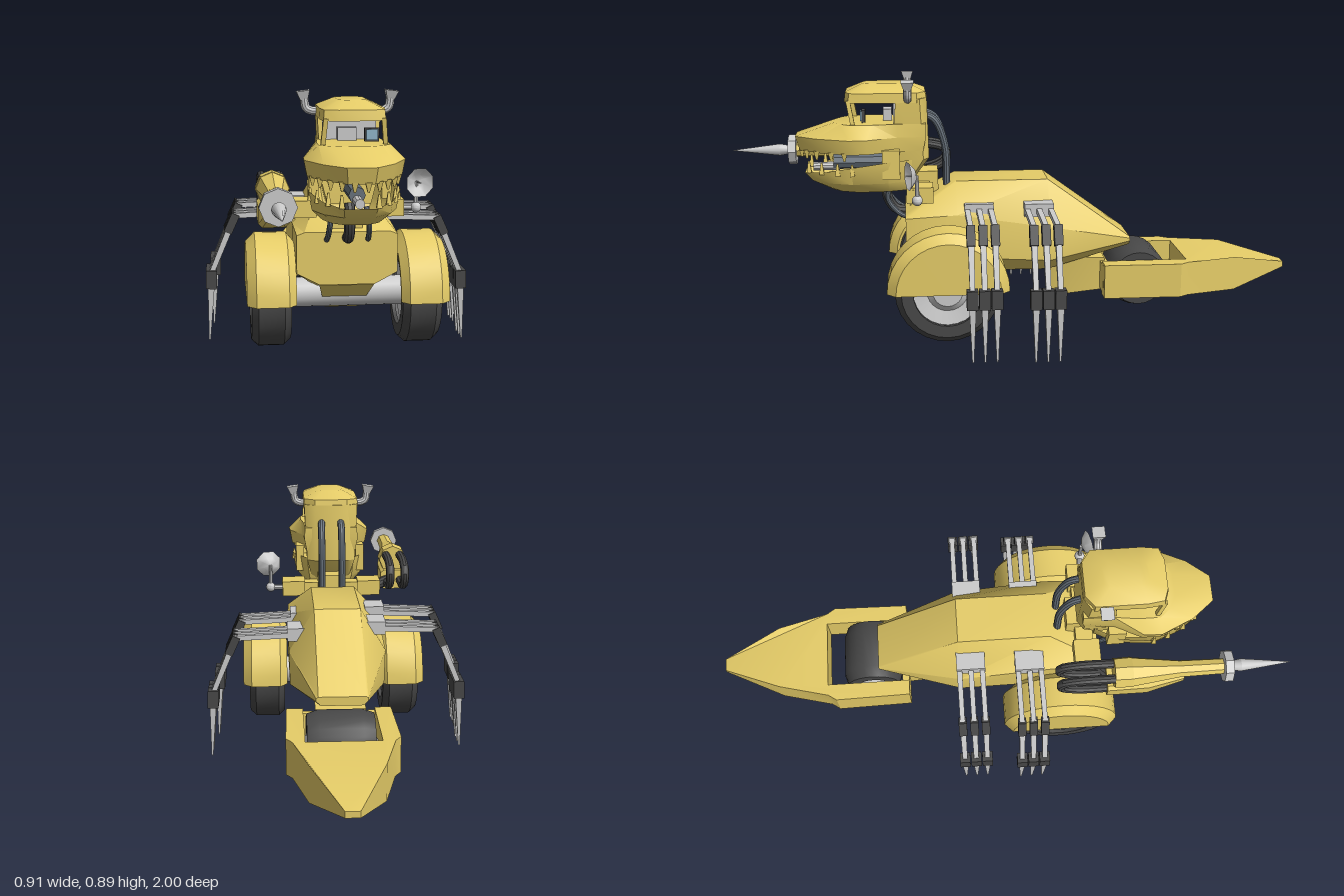
import * as THREE from 'three';
import { toCreasedNormals } from 'three/addons/utils/BufferGeometryUtils.js';

const mat = (color) => new THREE.MeshStandardMaterial({ color, side: THREE.DoubleSide });
const V = (p) => new THREE.Vector3(...p);

export function createModel() {
  const root = new THREE.Group();
  const yellow = mat(0xe6cd68), grey = mat(0xcccccc), dark = mat(0x484848), slate = mat(0x66707a), glass = mat(0x8fb4c8);

  const add = (name, geo, material, parent = root) => {
    const m = new THREE.Mesh(toCreasedNormals(geo, 0.6), material);
    m.name = name;
    parent.add(m);
    return m;
  };
  const box = (name, size, pos, material, parent) =>
    add(name, new THREE.BoxGeometry(...size).translate(...pos), material, parent);

  // Tapered rod between two points; four sides gives a square bar
  const rod = (name, a, b, r0, r1, sides, material, parent) => {
    const d = V(b).sub(V(a));
    const g = new THREE.CylinderGeometry(r1, r0, d.length(), sides);
    if (sides === 4) g.rotateY(Math.PI / 4);
    g.applyQuaternion(new THREE.Quaternion().setFromUnitVectors(new THREE.Vector3(0, 1, 0), d.normalize()));
    g.translate(...V(a).add(V(b)).multiplyScalar(0.5).toArray());
    return add(name, g, material, parent);
  };
  const hose = (name, pts, r, material = slate) =>
    add(name, new THREE.TubeGeometry(new THREE.CatmullRomCurve3(pts.map(V)), 20, r, 10), material);

  // Skin over closed rings, each given as its +x half and mirrored
  const loft = (name, halves, material, capped = [true, true]) => {
    const rings = halves.map((h) => [...h, ...h.slice().reverse().map(([x, y, z]) => [-x, y, z])]);
    const n = rings[0].length, pos = rings.flat(2), idx = [];
    for (let i = 0; i < rings.length - 1; i++)
      for (let j = 0; j < n; j++) {
        const a = i * n + j, b = i * n + (j + 1) % n;
        idx.push(a, b, a + n, b, b + n, a + n);
      }
    [0, rings.length - 1].forEach((r, e) => {
      if (!capped[e]) return;
      // halves are mirrored, so strips across x close the end
      for (let j = 0; j < n / 2 - 1; j++) {
        const a = r * n + j, b = a + 1, c = r * n + n - 1 - j, d = c - 1;
        if (e) idx.push(a, b, c, b, d, c);
        else idx.push(a, c, b, b, c, d);
      }
    });
    const g = new THREE.BufferGeometry();
    g.setAttribute('position', new THREE.Float32BufferAttribute(pos, 3));
    g.setIndex(idx);
    return add(name, g, material);
  };
  const atY = (y, pts) => pts.map(([x, z]) => [x, y, z]);
  const atZ = (z, pts) => pts.map(([x, y]) => [x, y, z]);

  // Lathe turned about the x axis; profile is [radius, x]
  const turned = (name, profile, segs, pos, material, half = false) => {
    const pts = profile.map(([r, x]) => new THREE.Vector2(r, x));
    const g = new THREE.LatheGeometry(pts, segs, half ? Math.PI : 0, half ? Math.PI : Math.PI * 2);
    return add(name, g.rotateZ(-Math.PI / 2).translate(...pos), material);
  };
  const tyre = (r, w, hub) => [[hub, -w * 0.8], [hub, -w], [r * 0.88, -w], [r, -w * 0.65], [r, w * 0.65], [r * 0.88, w], [hub, w], [hub, w * 0.8]];

  // Hull
  loft('hull', [
    atZ(0.375, [[0.14, 0.43], [0.165, 0.42], [0.165, 0.295], [0.09, 0.255]]),
    atZ(0.2, [[0.08, 0.53], [0.168, 0.43], [0.168, 0.28], [0.09, 0.21]]),
    atZ(-0.12, [[0.08, 0.53], [0.168, 0.38], [0.165, 0.26], [0.1, 0.21]]),
    atZ(-0.415, [[0.078, 0.315], [0.085, 0.31], [0.085, 0.3], [0.07, 0.285]]),
  ], yellow);
  loft('chin', [
    atZ(0.36, [[0.095, 0.27], [0.09, 0.25]]),
    atZ(0.22, [[0.085, 0.27], [0.06, 0.14]]),
    atZ(0.1, [[0.085, 0.27], [0.06, 0.14]]),
    atZ(0.03, [[0.085, 0.27], [0.07, 0.21]]),
  ], yellow);

  // Front wheels, fenders and axle
  turned('axle', [[0, -0.2], [0.05, -0.2], [0.05, 0.2], [0, 0.2]], 20, [0, 0.2, 0.24], grey);
  for (const s of [-1, 1]) {
    const x = s * 0.247;
    turned('frontTyre', tyre(0.176, 0.065, 0.115), 28, [x, 0.2, 0.24], dark);
    turned('frontHub', [[0, -0.05], [0.05, -0.05], [0.07, -0.035], [0.117, -0.045], [0.117, 0.045], [0.07, 0.035], [0.05, 0.05], [0, 0.05]], 24, [x, 0.2, 0.24], grey);
    turned('fender', [[0.165, -0.08], [0.175, -0.08], [0.205, -0.055], [0.205, 0.05], [0.175, 0.08], [0, 0.08]].map(([r, w]) => [r, s * w]), 16, [s * 0.25 + 0.003, 0.2, 0.237], yellow, true);
  }

  // Tail: forked plan shape, thinning towards the tip
  const plan = [[0.175, 0.31], [0.18, 0.58], [0.16, 0.61], [0.115, 0.79], [0.022, 1]];
  const tailShape = new THREE.Shape([
    ...plan, ...plan.slice().reverse().map(([x, z]) => [-x, z]),
    [-0.12, 0.31], [-0.12, 0.61], [0.12, 0.61], [0.12, 0.31],
  ].map((p) => new THREE.Vector2(...p)));
  const tail = new THREE.ExtrudeGeometry(tailShape, { depth: 0.12, bevelEnabled: false }).rotateX(-Math.PI / 2);
  const tp = tail.attributes.position;
  for (let i = 0; i < tp.count; i++) {
    const k = tp.getZ(i) < -0.9 ? 0.17 : 1;
    tp.setY(i, 0.18 + (tp.getY(i) - 0.06) * k);
  }
  add('tail', tail, yellow).position.x = 0.006;
  loft('tailLink', [
    atZ(-0.13, [[0.085, 0.25], [0.065, 0.14]]),
    atZ(-0.15, [[0.085, 0.25], [0.065, 0.1]]),
    atZ(-0.325, [[0.085, 0.24], [0.085, 0.125]]),
  ], yellow);
  box('tailCrossbar', [0.3, 0.1, 0.025], [0.006, 0.18, -0.322], yellow);
  turned('rearTyre', tyre(0.108, 0.11, 0.055), 24, [0.008, 0.17, -0.445], dark);
  turned('rearAxle', [[0, -0.125], [0.055, -0.1], [0.055, 0.1], [0, 0.125]], 16, [0.008, 0.17, -0.445], grey);

  // Legs: two banks of three on each side
  for (const s of [-1, 1])
    for (const [zc, dx] of [[0.125, -0.011], [-0.08, 0.003]]) {
      const bank = new THREE.Group();
      bank.name = 'legBank';
      bank.position.set(dx, -0.01 * s, zc);
      root.add(bank);
      box('legMount', [0.07, 0.045, 0.1], [s * 0.135, 0.452, 0], grey, bank);
      for (const z of [-0.04, 0, 0.04]) {
        const p = (x, y) => [s * x, y, z];
        rod('upperLeg', p(0.1, 0.452), p(0.35, 0.442), 0.013, 0.012, 4, grey, bank);
        rod('elbow', p(0.345, 0.447), p(0.373, 0.385), 0.02, 0.02, 4, dark, bank);
        rod('middleLeg', p(0.37, 0.39), p(0.43, 0.245), 0.014, 0.012, 4, grey, bank);
        rod('knee', p(0.43, 0.255), p(0.432, 0.192), 0.026, 0.026, 4, dark, bank);
        rod('foot', p(0.432, 0.2), p(0.44, 0.01), 0.016, 0.004, 4, grey, bank);
      }
    }

  // Head: snout, jaw, cab and roof
  loft('snout', [
    atY(0.64, [[0.04, 0.73], [0.1, 0.655], [0.145, 0.56], [0.143, 0.5], [0.1, 0.41], [0.09, 0.31]]),
    atY(0.69, [[0.045, 0.745], [0.105, 0.67], [0.155, 0.56], [0.152, 0.5], [0.105, 0.4], [0.1, 0.3]]),
    atY(0.735, [[0.04, 0.61], [0.08, 0.59], [0.11, 0.555], [0.11, 0.48], [0.1, 0.4], [0.098, 0.3]]),
  ], yellow);
  loft('lowerJaw', [
    atY(0.5, [[0.035, 0.62], [0.07, 0.59], [0.095, 0.53], [0.09, 0.43], [0.07, 0.37]]),
    atY(0.535, [[0.045, 0.69], [0.1, 0.63], [0.13, 0.55], [0.12, 0.43], [0.08, 0.35]]),
    [[0.05, 0.565, 0.715], [0.105, 0.575, 0.64], [0.142, 0.595, 0.55], [0.135, 0.61, 0.43], [0.09, 0.61, 0.35]],
  ], yellow, [true, false]);
  const upper = [[0.02, 0.725], [0.055, 0.705], [0.085, 0.67], [0.112, 0.62], [0.13, 0.575]];
  const lower = [[0.055, 0.7], [0.09, 0.655], [0.118, 0.6], [0.135, 0.55]];
  for (const s of [-1, 1]) {
    for (const [x, z] of upper) rod('upperTooth', [s * x, 0.645, z], [s * x, 0.615, z], 0.014, 0.004, 4, yellow);
    for (const [x, z] of lower) rod('lowerTooth', [s * x, 0.565, z], [s * x, 0.605, z], 0.012, 0.004, 4, yellow);
    box('jawHinge', [0.03, 0.1, 0.06], [s * 0.115, 0.6, 0.42], yellow);
  }
  loft('cabBack', [
    atY(0.53, [[0.07, 0.42], [0.07, 0.36], [0.05, 0.35]]),
    atY(0.61, [[0.09, 0.42], [0.09, 0.31], [0.06, 0.29]]),
    atY(0.82, [[0.1, 0.4], [0.1, 0.32], [0.06, 0.295]]),
  ], yellow);
  loft('roof', [
    atY(0.807, [[0.05, 0.575], [0.095, 0.56], [0.102, 0.5], [0.102, 0.33], [0.06, 0.295]]),
    atY(0.84, [[0.05, 0.57], [0.092, 0.555], [0.1, 0.5], [0.1, 0.33], [0.06, 0.3]]),
    atY(0.866, [[0.025, 0.51], [0.04, 0.5], [0.045, 0.48], [0.045, 0.38], [0.03, 0.36]]),
  ], yellow);
  box('cabWall', [0.17, 0.08, 0.008], [0, 0.77, 0.405], grey);
  box('seat', [0.06, 0.05, 0.03], [-0.01, 0.75, 0.43], grey);
  box('screenFrame', [0.045, 0.042, 0.012], [0.058, 0.76, 0.51], dark);
  box('screen', [0.036, 0.033, 0.006], [0.058, 0.76, 0.518], glass);
  for (const s of [-1, 1]) {
    rod('windowPillar', [s * 0.096, 0.73, 0.545], [s * 0.088, 0.815, 0.56], 0.01, 0.01, 4, yellow);
    // Exhaust stack with flared square mouth
    hose('exhaustElbow', [[s * 0.09, 0.822, 0.36], [s * 0.115, 0.822, 0.36], [s * 0.132, 0.832, 0.36], [s * 0.138, 0.862, 0.36]], 0.014, grey);
    rod('exhaustMouth', [s * 0.138, 0.855, 0.36], [s * 0.142, 0.885, 0.36], 0.016, 0.03, 4, grey);
    hose('backHose', [[s * 0.035, 0.76, 0.31], [s * 0.037, 0.74, 0.27], [s * 0.037, 0.65, 0.235], [s * 0.037, 0.51, 0.23]], 0.013);
    hose('throatHose', [[s * 0.055, 0.52, 0.42], [s * 0.062, 0.47, 0.435], [s * 0.066, 0.42, 0.4], [s * 0.068, 0.4, 0.36]], 0.009);
  }
  hose('throatPipe', [[0, 0.53, 0.42], [0, 0.48, 0.44], [0, 0.42, 0.41], [0, 0.41, 0.36]], 0.018, dark);
  box('neck', [0.1, 0.14, 0.1], [0, 0.49, 0.31], yellow);

  // Mouth gun
  rod('mouthGun', [0, 0.59, 0.4], [0, 0.59, 0.62], 0.026, 0.026, 8, slate);
  rod('mouthGunBarrel', [0, 0.575, 0.6], [0, 0.575, 0.69], 0.015, 0.015, 10, grey);

  // Shoulder beam and side boxes
  box('shoulderBeam', [0.36, 0.045, 0.06], [0.006, 0.503, 0.32], yellow);
  for (const s of [-1, 1]) box('shoulderBox', [0.085, 0.055, 0.09], [s * 0.142, 0.505, 0.325], yellow);

  // Dish on the left shoulder
  add('dishBall', new THREE.SphereGeometry(0.018, 12, 8).translate(0.23, 0.5, 0.335), grey);
  rod('dishBracket', [0.18, 0.5, 0.33], [0.23, 0.5, 0.335], 0.01, 0.01, 8, grey);
  rod('dishPost', [0.23, 0.5, 0.335], [0.23, 0.585, 0.335], 0.008, 0.006, 8, grey);
  const dish = add('dish', new THREE.LatheGeometry([[0, 0], [0.025, 0.008], [0.05, 0.03]].map((p) => new THREE.Vector2(...p)), 8, Math.PI / 8).rotateX(Math.PI / 2), grey);
  dish.position.set(0.23, 0.585, 0.335);
  dish.rotation.y = 0.25;
  rod('dishFeed', [0.23, 0.585, 0.335], [0.238, 0.585, 0.372], 0.003, 0.003, 6, grey);

  // Drill arm on the right shoulder
  const ax = -0.245, ay = 0.588;
  rod('armBody', [ax, ay, 0.4], [ax, ay, 0.46], 0.052, 0.054, 8, yellow);
  rod('armSleeve', [ax, ay, 0.46], [ax, ay, 0.62], 0.052, 0.03, 8, yellow);
  rod('armTube', [ax, ay, 0.6], [ax, ay, 0.775], 0.03, 0.027, 8, yellow);
  rod('drillCollar', [ax, ay, 0.77], [ax, ay, 0.798], 0.055, 0.055, 8, grey);
  rod('drillShank', [ax, ay, 0.798], [ax, ay, 0.83], 0.016, 0.022, 12, grey);
  rod('drillPoint', [ax, ay, 0.83], [ax, ay, 1], 0.022, 0.001, 12, grey);
  loft('lowerArm', [
    atZ(0.38, [[0.035, 0.55], [0.048, 0.54], [0.048, 0.49], [0.035, 0.477]]),
    atZ(0.52, [[0.035, 0.56], [0.048, 0.545], [0.048, 0.49], [0.035, 0.477]]),
    atZ(0.64, [[0.02, 0.57], [0.028, 0.565], [0.028, 0.54], [0.02, 0.53]]),
  ], yellow).position.x = ax;
  for (const dx of [-0.027, 0.027])
    hose('armHose', [[ax + dx, 0.605, 0.42], [ax + dx, 0.605, 0.28], [ax + dx, 0.585, 0.225], [ax + dx, 0.545, 0.225], [ax + dx, 0.515, 0.28], [ax + dx, 0.51, 0.4]], 0.016, dark);
  rod('armPivot', [-0.17, 0.503, 0.33], [ax, 0.515, 0.4], 0.02, 0.02, 10, dark);

  return root;
}
